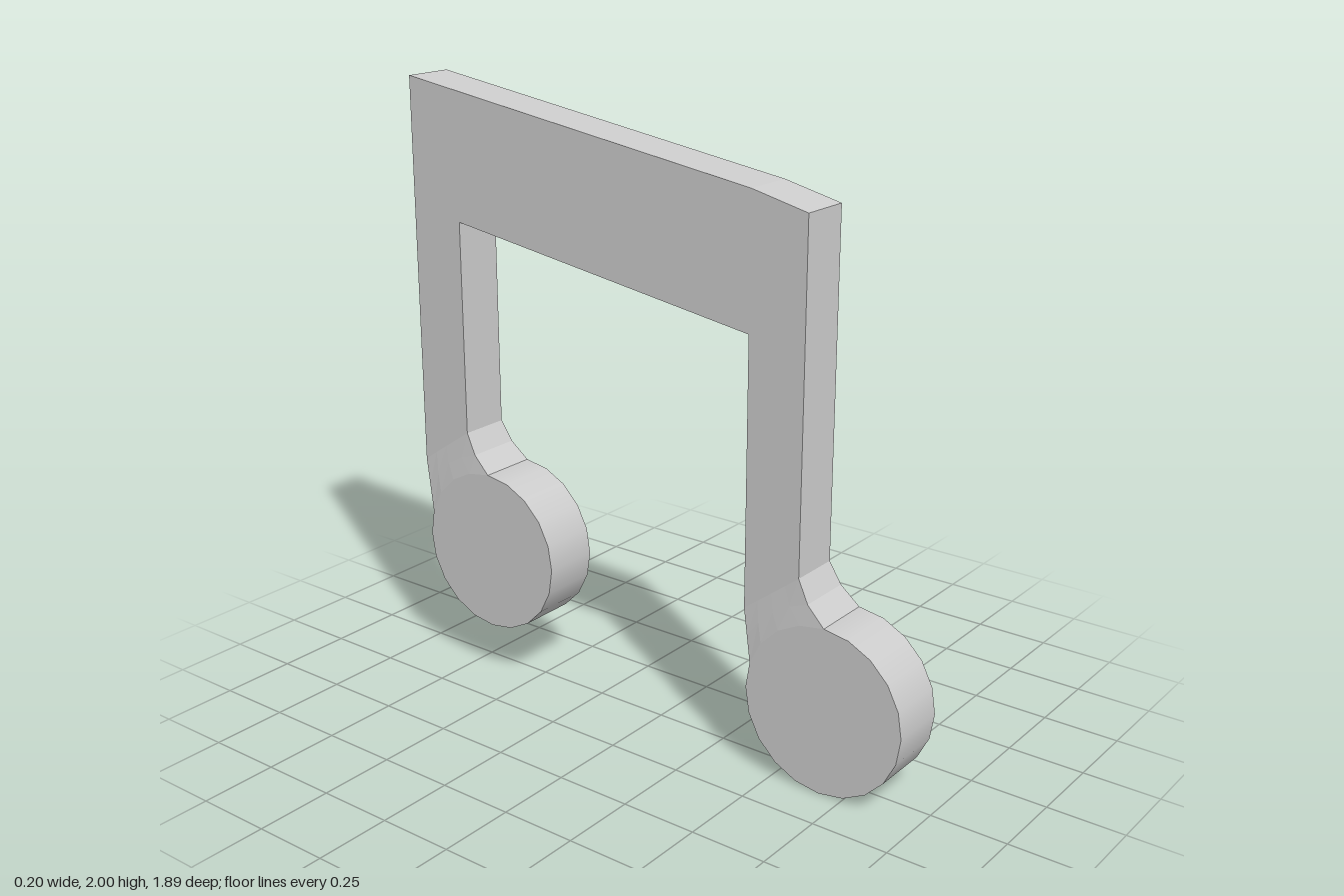
import * as THREE from 'three';

const HEAD_R = 0.272, HEAD_X = 0.098, STEM_X = 0.084, SIDES = 20;

// each note: head centre and lower stem corners, all as [z, y]
const notes = [
  { head: [0.672, 0.273], front: [0.572, 0.672], back: [0.38, 0.525] },
  { head: [-0.648, 0.445], front: [-0.748, 0.84], back: [-0.944, 0.708] },
];

const mix = THREE.MathUtils.lerp;

// neck lofted from the upper arc of the head to the slanted stem end
function neckGeometry({ head, front, back }) {
  const N = 4, rows = [];
  for (let r = 0; r <= 2; r++) {
    const t = r / 2, row = [];
    for (let k = 0; k <= N; k++) {
      const a = Math.PI / 2 - (k * 2 * Math.PI) / SIDES;
      const z0 = head[0] - HEAD_R * Math.cos(a), y0 = head[1] + HEAD_R * Math.sin(a);
      const z1 = mix(front[0], back[0], k / N), y1 = mix(front[1], back[1], k / N);
      const bend = r === 1 ? 1 - k / N : 0; // hollow curve on the front edge
      row.push([mix(HEAD_X, STEM_X, t), mix(y0, y1, t) - 0.006 * bend, mix(z0, z1, t) - 0.012 * bend]);
    }
    rows.push(row);
  }
  const pos = [];
  const flip = ([x, y, z]) => [-x, y, z];
  const quad = (a, b, c, d) => pos.push(...a, ...b, ...c, ...a, ...c, ...d);
  for (let r = 0; r < 2; r++) {
    const lo = rows[r], hi = rows[r + 1];
    for (let k = 0; k < N; k++) {
      quad(lo[k], lo[k + 1], hi[k + 1], hi[k]);
      quad(flip(lo[k + 1]), flip(lo[k]), flip(hi[k]), flip(hi[k + 1]));
    }
    quad(flip(lo[0]), lo[0], hi[0], flip(hi[0]));
    quad(lo[N], flip(lo[N]), flip(hi[N]), hi[N]);
  }
  const g = new THREE.BufferGeometry();
  g.setAttribute('position', new THREE.Float32BufferAttribute(pos, 3));
  g.computeVertexNormals();
  return g;
}

export function createModel() {
  const group = new THREE.Group();
  const material = new THREE.MeshStandardMaterial({ color: 0xcccccc });
  const add = (geometry, name) => {
    const mesh = new THREE.Mesh(geometry, material);
    mesh.name = name;
    group.add(mesh);
    return mesh;
  };

  // two stems joined by the sloping beam, drawn in (z, y)
  const [a, b] = notes;
  const outline = [
    a.front, a.back, [a.back[0], 1.38], [b.front[0], 1.552], b.front, b.back,
    [b.back[0], 2], [a.back[0], 1.802], [a.front[0], 1.757],
  ].map(([z, y]) => new THREE.Vector2(z, y));
  const frame = new THREE.ExtrudeGeometry(new THREE.Shape(outline), { depth: 2 * STEM_X, bevelEnabled: false });
  frame.translate(0, 0, -STEM_X).rotateY(-Math.PI / 2);
  add(frame, 'stemsAndBeam');

  // round heads and their necks
  notes.forEach((note, i) => {
    const side = i === 0 ? 'front' : 'back';
    const disc = new THREE.CylinderGeometry(HEAD_R, HEAD_R, 2 * HEAD_X, SIDES).rotateZ(Math.PI / 2);
    add(disc, side + 'Head').position.set(0, note.head[1], note.head[0]);
    add(neckGeometry(note), side + 'Neck');
  });
  return group;
}
